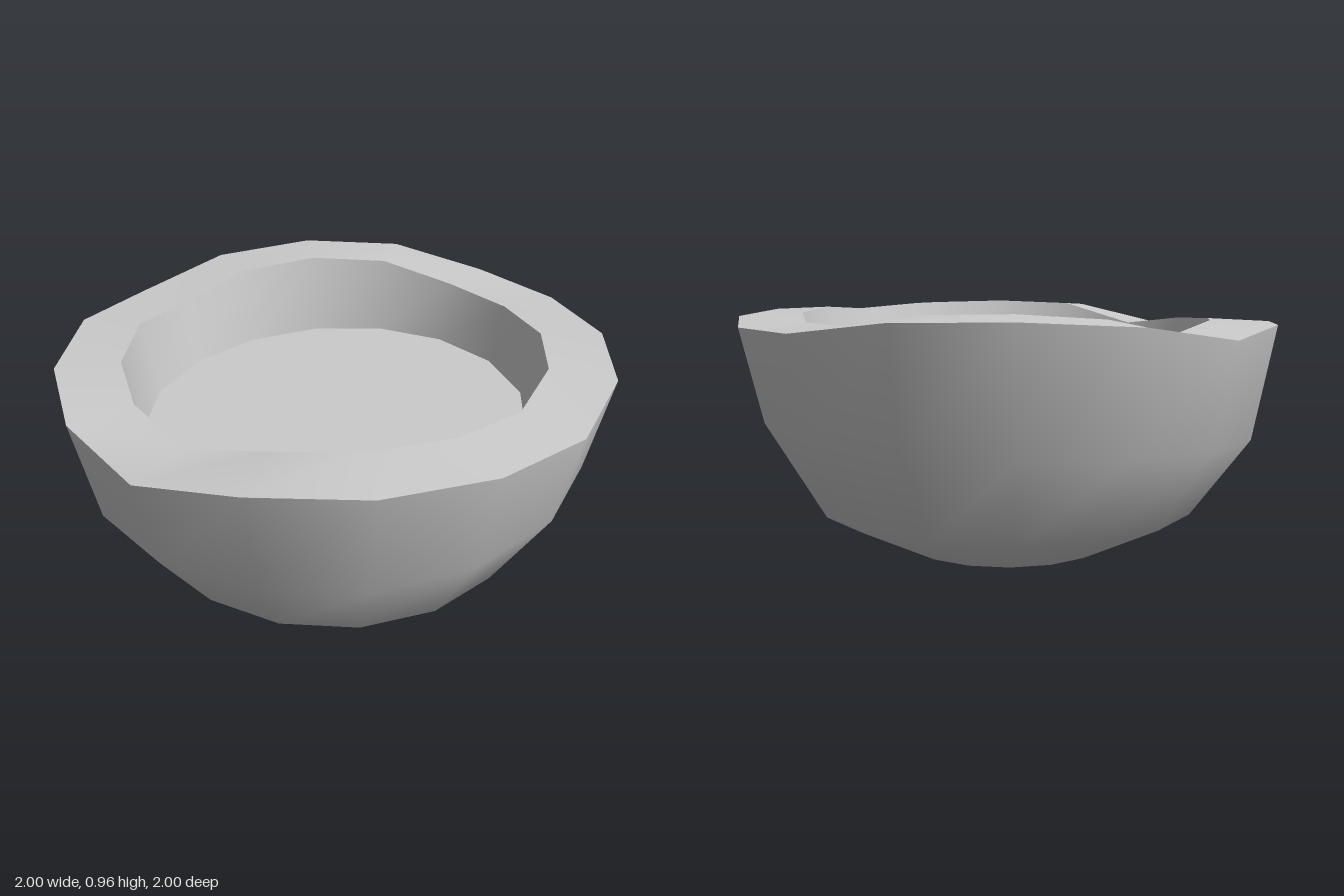
import * as THREE from 'three';

const SIDES = 16;

// Uneven rim heights, counted from the front (+z) round through +x
const RIM = [0.91, 0.93, 0.92, 0.90, 0.90, 0.945, 0.95, 0.93,
  0.875, 0.905, 0.897, 0.884, 0.85, 0.927, 0.937, 0.932];

// One ring of points; height(i, x, z) gives each point's y
function ring(radius, height) {
  return Array.from({ length: SIDES }, (_, i) => {
    const a = (i / SIDES) * Math.PI * 2;
    const x = radius * Math.sin(a), z = radius * Math.cos(a);
    return [x, height(i, x, z), z];
  });
}

// Smooth skin through consecutive rings, with an optional centre point at the start or end
function skin(rings, { startPoint, endPoint } = {}) {
  const points = rings.flat();
  const index = [];
  const at = (r, i) => r * SIDES + (i % SIDES);
  for (let i = 0; i < SIDES; i++) {
    for (let r = 0; r < rings.length - 1; r++) {
      const a = at(r, i), b = at(r, i + 1), c = at(r + 1, i + 1), d = at(r + 1, i);
      index.push(a, b, c, a, c, d);
    }
    if (startPoint) index.push(points.length, at(0, i + 1), at(0, i));
    if (endPoint) index.push(at(rings.length - 1, i), at(rings.length - 1, i + 1), points.length);
  }
  if (startPoint || endPoint) points.push(startPoint || endPoint);
  const geometry = new THREE.BufferGeometry();
  geometry.setAttribute('position', new THREE.Float32BufferAttribute(points.flat(), 3));
  geometry.setIndex(index);
  geometry.computeVertexNormals();
  return geometry;
}

export function createModel() {
  const group = new THREE.Group();
  group.name = 'bowl';
  const stone = new THREE.MeshStandardMaterial({ color: 0xcccccc });
  stone.name = 'pale grey';

  const flat = (y) => () => y;
  const tilted = (y, slope) => (i, x, z) => y + slope * (x + z);

  const outerRim = ring(1, (i) => RIM[i]);
  const innerRim = ring(0.765, (i) => RIM[i] + 0.012);
  const floorEdge = ring(0.71, tilted(0.66, 0.029));

  const parts = {
    // Rounded outside, from the bottom tip up to the rim
    outerShell: skin([ring(0.385, flat(0.05)), ring(0.71, flat(0.21)),
      ring(0.922, tilted(0.533, 0.029)), outerRim], { startPoint: [0, 0, 0] }),
    // Broad wavy lip
    rim: skin([outerRim, innerRim]),
    // Slightly tapered inside wall
    innerWall: skin([innerRim, floorEdge]),
    // Gently tilted floor
    floor: skin([floorEdge], { endPoint: [0, 0.66, 0] }),
  };
  for (const [name, geometry] of Object.entries(parts)) {
    const mesh = new THREE.Mesh(geometry, stone);
    mesh.name = name;
    group.add(mesh);
  }
  return group;
}
